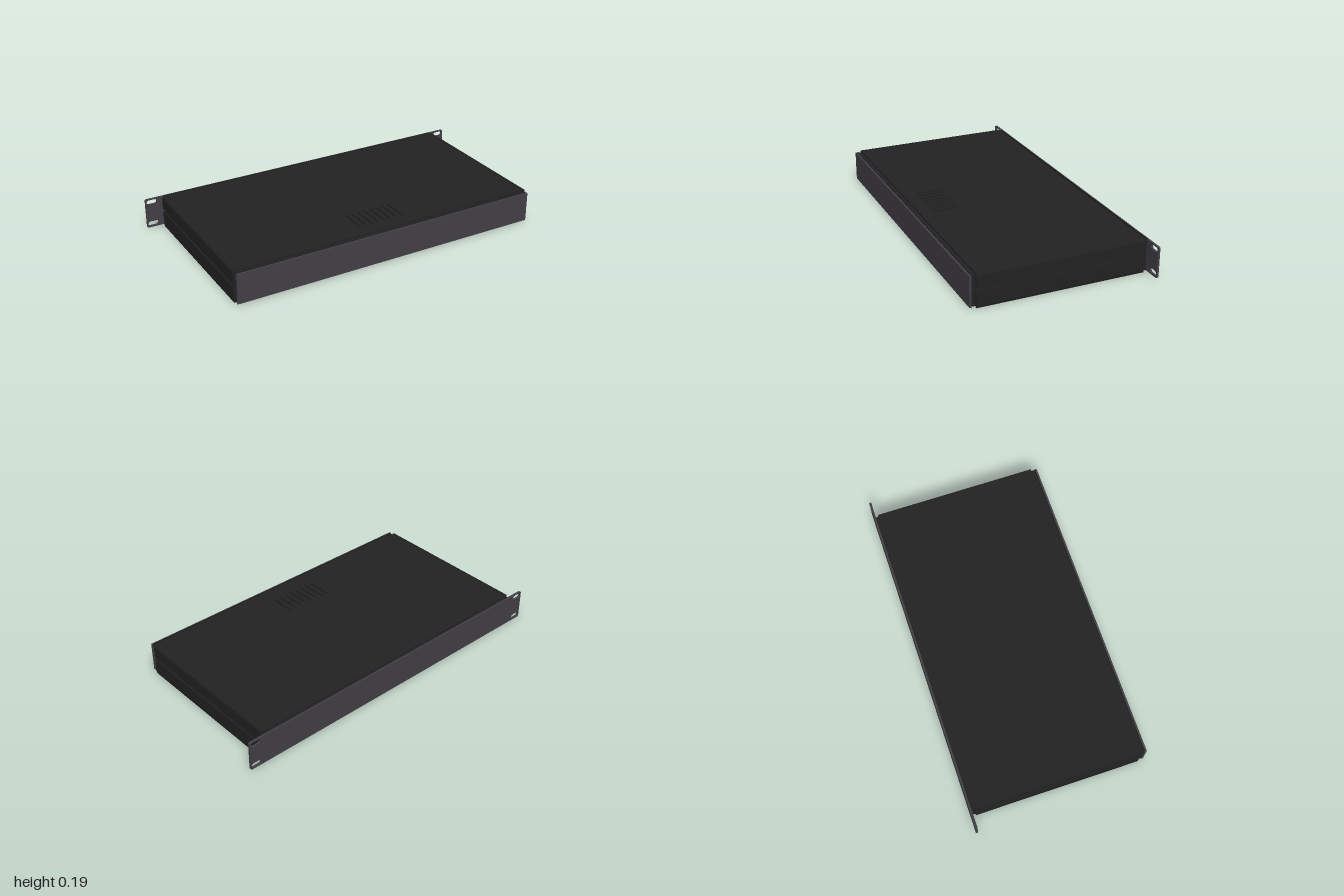
import * as THREE from 'three';

export function createModel() {
  const model = new THREE.Group();
  model.name = 'rackEnclosure';
  const bodyBlack = new THREE.MeshStandardMaterial({ color: 0x222222 });
  bodyBlack.name = 'bodyBlack';
  const panelGrey = new THREE.MeshStandardMaterial({ color: 0x424046 });
  panelGrey.name = 'panelGrey';

  const add = (name, geometry, material) => {
    const mesh = new THREE.Mesh(geometry, material);
    mesh.name = name;
    model.add(mesh);
    return mesh;
  };
  // Box given by its limits on each axis
  const box = (name, x0, x1, y0, y1, z0, z1, material = bodyBlack) =>
    add(name, new THREE.BoxGeometry(x1 - x0, y1 - y0, z1 - z0), material)
      .position.set((x0 + x1) / 2, (y0 + y1) / 2, (z0 + z1) / 2);
  // Rounded rectangle, usable as an outline or a hole
  const roundRect = (target, cx, cy, w, h, r) => {
    const x = w / 2 - r, y = h / 2 - r;
    target.absarc(cx + x, cy + y, r, 0, Math.PI / 2);
    target.absarc(cx - x, cy + y, r, Math.PI / 2, Math.PI);
    target.absarc(cx - x, cy - y, r, Math.PI, Math.PI * 1.5);
    target.absarc(cx + x, cy - y, r, Math.PI * 1.5, Math.PI * 2);
    target.closePath();
    return target;
  };
  const extrude = (shape, depth) =>
    new THREE.ExtrudeGeometry(shape, { depth, bevelEnabled: false, curveSegments: 6 });

  // Rack faceplate with four mounting slots
  const plate = roundRect(new THREE.Shape(), 0, 0.093, 2, 0.174, 0.008);
  for (const x of [-0.963, 0.963])
    for (const y of [0.028, 0.16])
      plate.holes.push(roundRect(new THREE.Path(), x, y, 0.06, 0.027, 0.013));
  add('rackFaceplate', extrude(plate, 0.012), panelGrey).position.z = -0.5;

  // Plain panel at the opposite end
  box('endPanel', -0.9, 0.9, 0.008, 0.178, 0.488, 0.5, panelGrey);

  // Lid with a row of vent slots
  const lid = new THREE.Shape();
  lid.moveTo(-0.897, -0.462);
  lid.lineTo(0.897, -0.462);
  lid.lineTo(0.897, 0.475);
  lid.lineTo(-0.897, 0.475);
  lid.closePath();
  for (let i = 0; i < 8; i++)
    lid.holes.push(roundRect(new THREE.Path(), (i - 3.5) * 0.038, -0.305, 0.018, 0.157, 0.0085));
  const lidGeometry = extrude(lid, 0.008);
  lidGeometry.rotateX(-Math.PI / 2);
  add('ventedLid', lidGeometry, bodyBlack).position.y = 0.175;

  // Base plate
  box('basePlate', -0.897, 0.897, 0.002, 0.01, -0.475, 0.462);

  // Lowered steps and thin lips at both ends of the lid and base
  for (const [z0, z1, lip] of [[0.46, 0.488, 0.486], [-0.488, -0.47, -0.49]]) {
    box('lidStep', -0.897, 0.897, 0.167, 0.175, z0, z1);
    box('baseStep', -0.897, 0.897, 0.01, 0.018, z0, z1);
    box('lidLip', -0.895, 0.895, 0.167, 0.183, lip, lip + 0.003);
    box('baseLip', -0.895, 0.895, 0.001, 0.018, lip, lip + 0.003);
  }
  box('endPanelBacking', -0.89, 0.89, 0.012, 0.174, 0.475, 0.488);
  box('faceplateBacking', -0.89, 0.89, 0.012, 0.174, -0.488, -0.481);

  // Side rails with a long groove, and the inner flanges behind them
  const halfProfile = [
    [0.892, 0], [0.904, 0], [0.907, 0.012], [0.907, 0.095], [0.9, 0.095],
    [0.9, 0.115], [0.907, 0.115], [0.907, 0.175], [0.904, 0.185], [0.892, 0.185],
  ];
  for (const side of [1, -1]) {
    const rail = new THREE.Shape(halfProfile.map(([x, y]) => new THREE.Vector2(x * side, y)));
    add(side > 0 ? 'leftRail' : 'rightRail', extrude(rail, 0.935), bodyBlack).position.z = -0.47;
    const a = side > 0 ? 0.882 : -0.892;
    box('upperFlange', a, a + 0.01, 0.115, 0.175, -0.488, 0.488);
    box('lowerFlange', a, a + 0.01, 0.01, 0.095, -0.488, 0.488);
  }
  return model;
}
